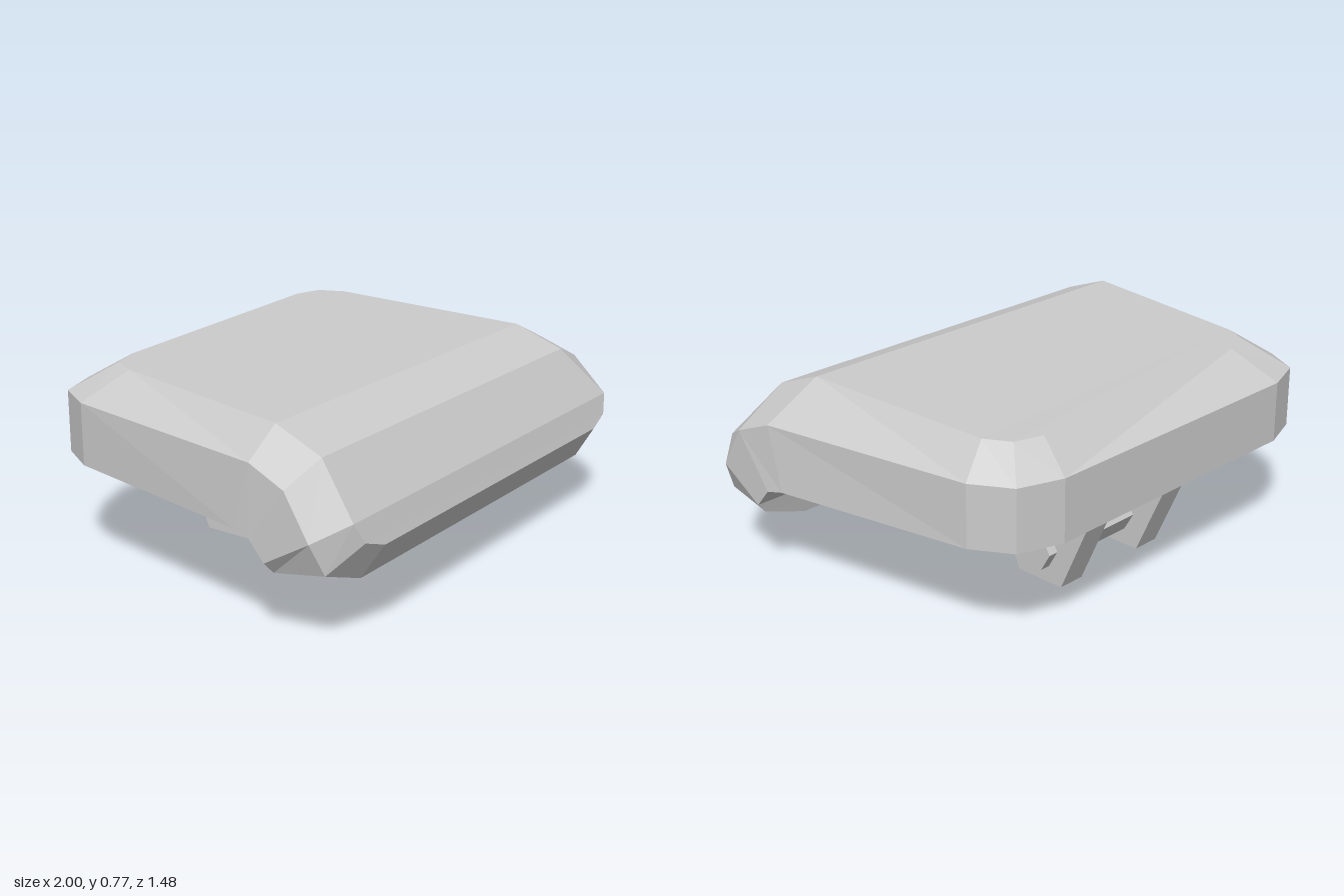
import * as THREE from 'three';

const material = new THREE.MeshStandardMaterial({ color: 0xcccccc, flatShading: true });

// Each station, back to front: B = bottom edge and M = rim edge as [half width, y, z],
// L and R = the top edge on the -x and +x side as [x, y, z] (they are not symmetric).
const stations = [
  { B: [0.60, 0.415, -0.74], M: [0.60, 0.655, -0.74], L: [-0.54, 0.765, -0.56], R: [0.58, 0.77, -0.625] },
  { B: [0.77, 0.415, -0.68], M: [0.77, 0.655, -0.68], L: [-0.66, 0.765, -0.52], R: [0.69, 0.77, -0.59] },
  { B: [0.855, 0.413, -0.53], M: [0.855, 0.654, -0.53], L: [-0.71, 0.765, -0.42], R: [0.74, 0.768, -0.49] },
  { B: [0.99, 0.40, 0.29], M: [0.985, 0.645, 0.355], L: [-0.87, 0.755, 0.38], R: [0.73, 0.755, 0.38] },
  { B: [1.00, 0.385, 0.36], M: [1.00, 0.585, 0.51], L: [-0.885, 0.68, 0.58], R: [0.74, 0.68, 0.58] },
  { B: [1.00, 0.31, 0.425], M: [1.00, 0.42, 0.61], L: [-0.89, 0.48, 0.71], R: [0.89, 0.48, 0.71] },
  { B: [0.96, 0.265, 0.435], M: [0.95, 0.30, 0.64], L: [-0.85, 0.405, 0.73], R: [0.85, 0.405, 0.73] },
  { B: [0.77, 0.195, 0.45], M: [0.77, 0.235, 0.655], L: [-0.75, 0.37, 0.74], R: [0.75, 0.37, 0.74] },
];

function buildCushion() {
  const flip = ([x, y, z]) => [-x, y, z];
  const rings = stations.map(({ B, M, L, R }) => [flip(B), flip(M), L, R, M, B]);
  const positions = [];
  const quad = (a, b, c, d) => positions.push(...a, ...b, ...c, ...a, ...c, ...d);

  // skin between neighbouring cross-sections
  for (let s = 0; s < rings.length - 1; s++) {
    const back = rings[s], front = rings[s + 1];
    for (let j = 0; j < 6; j++) {
      const k = (j + 1) % 6;
      quad(front[j], front[k], back[k], back[j]);
    }
  }
  // front and back ends, each a wall and a bevel
  const f = rings[rings.length - 1], b = rings[0];
  for (const [i, j] of [[0, 5], [1, 4]]) {
    quad(f[i], f[j], f[j - 1], f[i + 1]);
    quad(b[j], b[i], b[i + 1], b[j - 1]);
  }

  const geometry = new THREE.BufferGeometry();
  geometry.setAttribute('position', new THREE.Float32BufferAttribute(positions, 3));
  geometry.computeVertexNormals();
  return geometry;
}

function addMesh(parent, name, geometry, x, y, z) {
  const mesh = new THREE.Mesh(geometry, material);
  mesh.name = name;
  mesh.position.set(x, y, z);
  parent.add(mesh);
}

function buildBracket() {
  const bracket = new THREE.Group();
  bracket.name = 'mountingBracket';

  // tapered side plates, outlined in z and y
  const outline = [[-0.55, 0.413], [-0.55, 0.27], [-0.43, 0], [-0.215, 0], [-0.09, 0.27], [-0.09, 0.413]];
  const plate = new THREE.ExtrudeGeometry(
    new THREE.Shape(outline.map(([z, y]) => new THREE.Vector2(z, y))),
    { depth: 0.115, bevelEnabled: false });
  plate.translate(0, 0, -0.0575).rotateY(-Math.PI / 2);
  addMesh(bracket, 'leftPlate', plate, 0.2175, 0, 0);
  addMesh(bracket, 'rightPlate', plate, -0.2175, 0, 0);

  // block joining the plates under the cushion
  addMesh(bracket, 'bracketBase', new THREE.BoxGeometry(0.32, 0.13, 0.46), 0, 0.347, -0.32);

  // hexagonal pivot pin
  const pin = new THREE.CylinderGeometry(0.085, 0.085, 0.635, 6).rotateZ(Math.PI / 2);
  addMesh(bracket, 'pivotPin', pin, 0, 0.14, -0.325);
  return bracket;
}

export function createModel() {
  const model = new THREE.Group();
  model.name = 'paddedRest';
  addMesh(model, 'cushion', buildCushion(), 0, 0, 0);
  model.add(buildBracket());
  return model;
}
